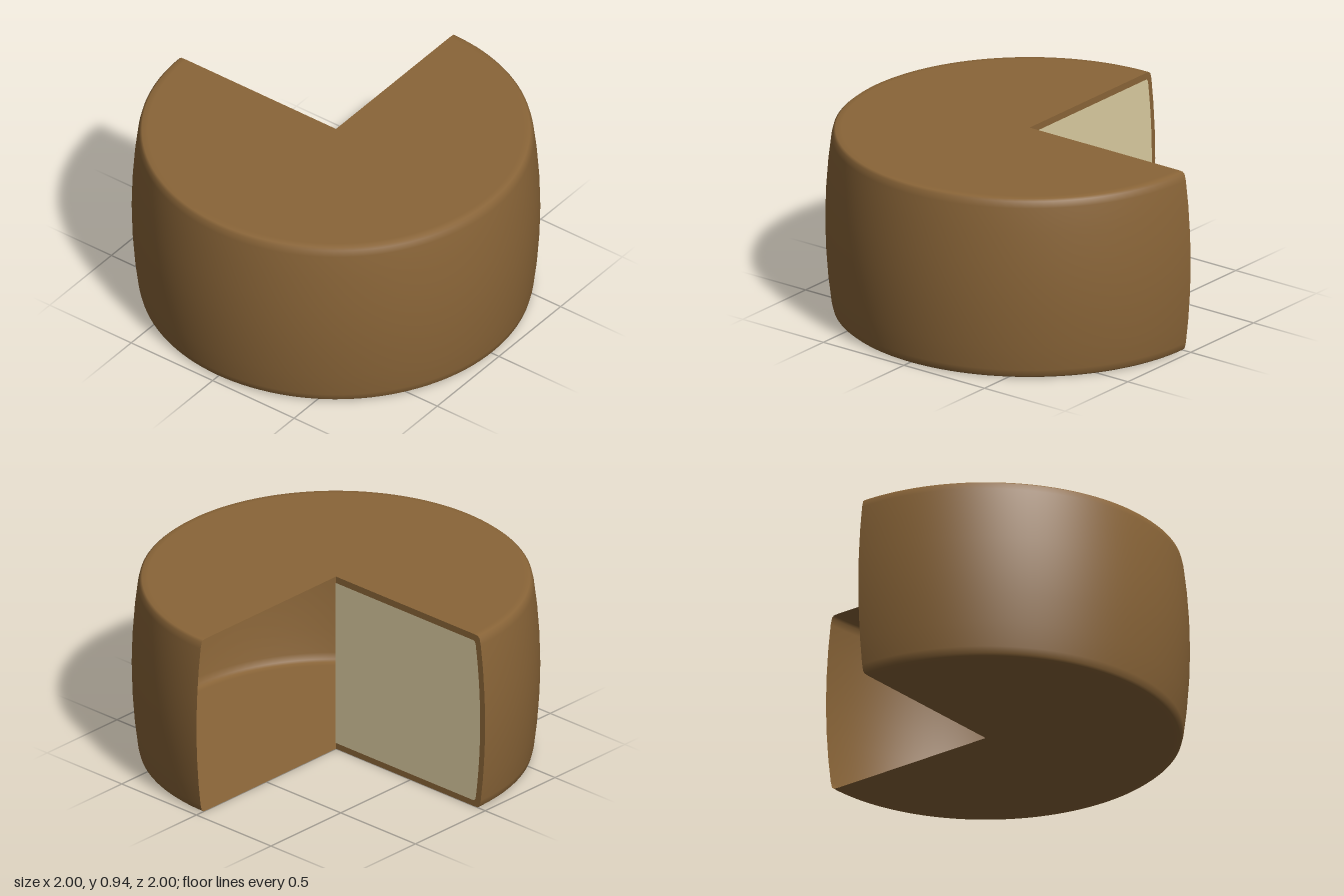
import * as THREE from 'three';

export function createModel() {
  const group = new THREE.Group();
  const rindMat = new THREE.MeshStandardMaterial({ color: 0x8a6538, side: THREE.DoubleSide });
  rindMat.name = 'brown rind';
  const pasteMat = new THREE.MeshStandardMaterial({ color: 0xdacba0, side: THREE.DoubleSide });
  pasteMat.name = 'cream cheese';

  const H = 0.94;

  // half profile of the bulging wheel, bottom to top: [radius, height]
  const half = [[0, 0], [0.92, 0], [0.95, 0.002], [0.962, 0.012], [0.97, 0.045], [0.985, 0.17], [0.996, 0.32]];
  const profile = [
    ...half,
    [1, H / 2],
    ...half.slice().reverse().map(([r, y]) => [r, H - y]),
  ].map(([r, y]) => new THREE.Vector2(r, y));

  const add = (name, geometry, material) => {
    const mesh = new THREE.Mesh(geometry, material);
    mesh.name = name;
    group.add(mesh);
    return mesh;
  };

  // hollow three-quarter wheel, open on the cut along z = 0
  add('rind', new THREE.LatheGeometry(profile, 96, Math.PI, Math.PI * 1.5), rindMat);

  // rind edge closing the cut along x = 0
  const cut = new THREE.ShapeGeometry(new THREE.Shape(profile)).rotateY(Math.PI / 2);
  add('cutRindEdge', cut, rindMat);

  // cream inside, set in from the rind and reaching the centre
  const t = 0.033;
  const inner = new THREE.Shape();
  inner.moveTo(0, t);
  inner.lineTo(0.92, t);
  inner.quadraticCurveTo(0.937, t, 0.94, t + 0.025);
  inner.quadraticCurveTo(0.998, H / 2, 0.94, H - t - 0.025);
  inner.quadraticCurveTo(0.937, H - t, 0.92, H - t);
  inner.lineTo(0, H - t);
  inner.closePath();
  const paste = new THREE.ShapeGeometry(inner, 16).rotateY(Math.PI / 2);
  add('cutCheeseFace', paste, pasteMat).position.x = 0.003;

  return group;
}
